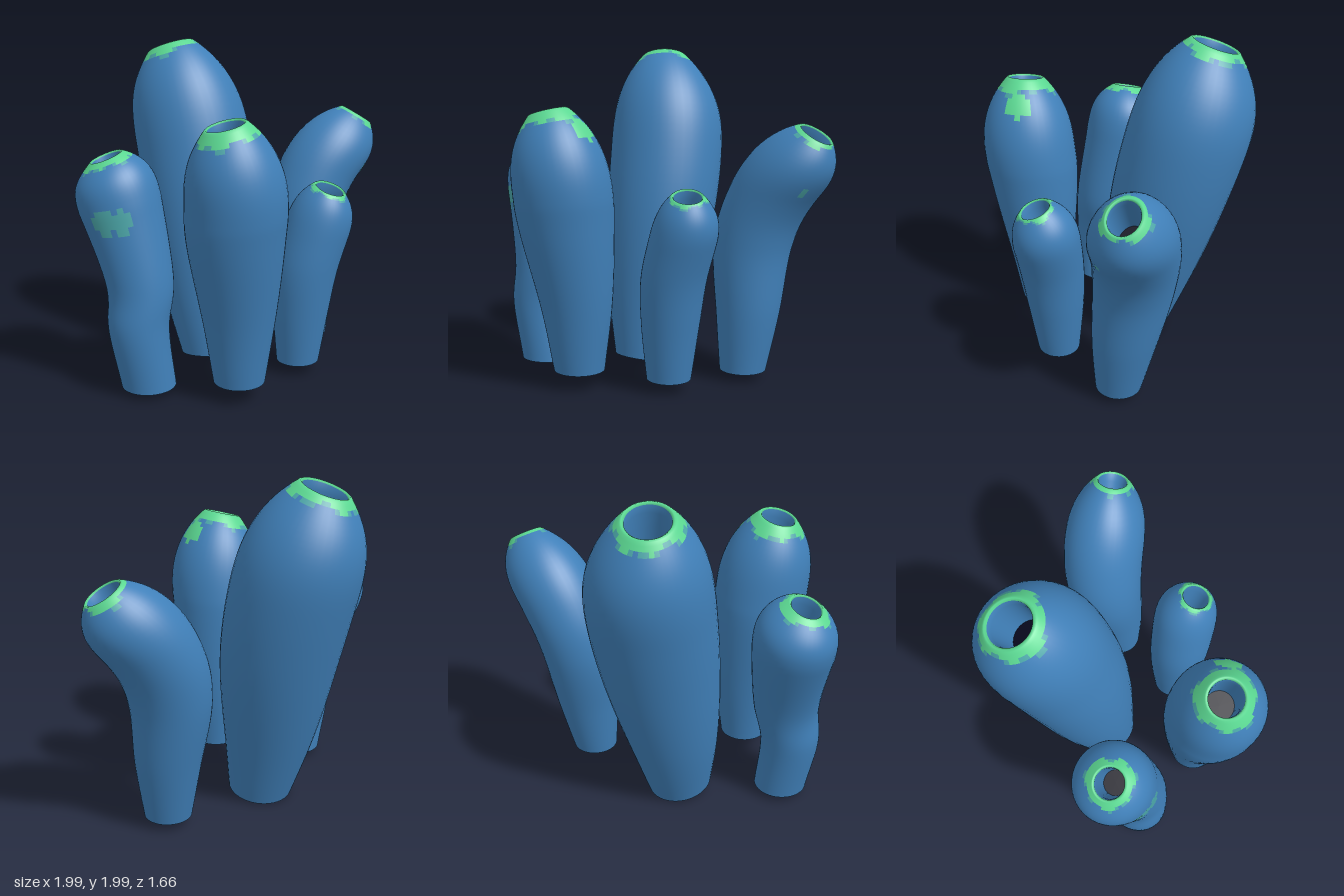
import * as THREE from 'three';

const SIDES = 44, STEPS = 42;

const flat = (name, color) => {
  const material = new THREE.MeshStandardMaterial({ color });
  material.name = name;
  return material;
};
const blue = flat('spongeBlue', 0x4080b9);
const green = flat('rimGreen', 0x5bd892);
const teal = flat('patchTeal', 0x4ba6a8);
const dark = flat('holeDark', 0x07071c);

// Profile: radius at base, belly and rim, then the belly's height as a fraction of the tube.
// tilt: slope of the rim along x and z. glow: reach of the coloured rim.
const TUBES = [
  { name: 'tallTube', profile: [0.195, 0.36, 0.145, 0.66], tilt: [0.24, 0.27], baseTilt: 0.18, glow: 0.2,
    spine: [[-0.16, 0.04, -0.18], [-0.18, 0.4, -0.25], [-0.19, 1, -0.37], [-0.24, 1.5, -0.48], [-0.34, 1.945, -0.565]] },
  { name: 'frontTube', profile: [0.15, 0.285, 0.117, 0.65], tilt: [0.25, -0.06], waist: 0.02, glow: 0.185,
    spine: [[-0.12, 0.11, 0.45], [-0.125, 0.5, 0.465], [-0.15, 0.95, 0.51], [-0.16, 1.25, 0.545], [-0.22, 1.615, 0.58]],
    patches: [{ at: [0, 1.52, 0.52], reach: 0.075, paint: 1 }] },
  { name: 'rightTube', profile: [0.16, 0.235, 0.098, 0.8], tilt: [0.38, 0], waist: 0.025, glow: 0.145,
    spine: [[-0.62, 0.045, 0.25], [-0.67, 0.4, 0.255], [-0.655, 0.68, 0.22], [-0.75, 1.14, 0.14], [-0.815, 1.39, 0.14]],
    patches: [{ at: [-0.85, 1.07, 0.35], reach: 0.075, paint: 2 }, { at: [-0.76, 1.07, 0.38], reach: 0.07, paint: 2 }] },
  { name: 'leaningTube', profile: [0.14, 0.245, 0.1, 0.75], tilt: [-0.62, 0], glow: 0.135,
    spine: [[0.5, 0.06, -0.325], [0.505, 0.4, -0.36], [0.5, 0.82, -0.41], [0.605, 1.13, -0.45], [0.875, 1.485, -0.485]],
    patches: [{ at: [0.87, 1.16, -0.35], reach: 0.035, paint: 2 }] },
  { name: 'smallTube', profile: [0.13, 0.195, 0.094, 0.73], tilt: [-0.25, -0.28], glow: 0.112,
    spine: [[0.315, 0.075, 0.15], [0.33, 0.4, 0.155], [0.36, 0.68, 0.16], [0.44, 0.97, 0.16], [0.485, 1.155, 0.195]] },
];

// Lip and inner wall: depth below the rim and share of the rim radius
const HOLE = [[-0.006, 0.92], [0.004, 0.84], [0.05, 0.8], [0.14, 0.77], [0.32, 0.72]];

// Swells from the base to the belly, then closes in a dome towards the rim
function radiusAt(h, [base, belly, rim, bellyAt], waist) {
  if (h < bellyAt) {
    const u = h / bellyAt;
    return base + (belly - base) * Math.sin(u * Math.PI / 2) - waist * Math.sin(u * Math.PI);
  }
  const u = (h - bellyAt) / (1 - bellyAt);
  return rim + (belly - rim) * (1 - u ** 3);
}

// One sloping ring of points
function ring(centre, radius, slopeX, slopeZ) {
  return Array.from({ length: SIDES }, (_, i) => {
    const a = i / SIDES * Math.PI * 2, dx = radius * Math.cos(a), dz = radius * Math.sin(a);
    return new THREE.Vector3(centre.x + dx, centre.y + slopeX * dx + slopeZ * dz, centre.z + dz);
  });
}

// Flat disc closing a ring of points
function disc(points, up) {
  const centre = points.reduce((s, p) => s.add(p), new THREE.Vector3()).divideScalar(points.length);
  const geometry = new THREE.BufferGeometry().setFromPoints([centre, ...points]);
  const index = [];
  for (let i = 0; i < points.length; i++) {
    const a = 1 + i, b = 1 + (i + 1) % points.length;
    index.push(0, up ? b : a, up ? a : b);
  }
  geometry.setIndex(index);
  geometry.computeVertexNormals();
  return geometry;
}

function buildTube({ name, spine, profile, tilt, glow, waist = 0, baseTilt = 0, patches = [] }) {
  const curve = new THREE.CatmullRomCurve3(spine.map(p => new THREE.Vector3(...p)), false, 'catmullrom', 0.5);
  const base = curve.getPoint(0), rim = curve.getPoint(1), down = curve.getTangent(1).negate();

  // Outer wall, with rings closer together towards the rim
  const rings = [];
  for (let j = 0; j <= STEPS; j++) {
    const c = curve.getPoint(1 - (1 - j / STEPS) ** 1.3);
    const h = THREE.MathUtils.clamp((c.y - base.y) / (rim.y - base.y), 0, 1);
    rings.push(ring(c, radiusAt(h, profile, waist), tilt[0] * h ** 3, tilt[1] * h ** 3 + baseTilt * (1 - h) ** 3));
  }
  // Lip and inner wall
  for (const [depth, share] of HOLE) {
    rings.push(ring(rim.clone().addScaledVector(down, depth), profile[2] * share, ...tilt));
  }
  const points = rings.flat();

  // Ragged coloured rim and patches, chosen face by face
  const spots = patches.map(p => ({ ...p, at: new THREE.Vector3(...p.at) }));
  const paintAt = (p, i, j) => {
    if (j > STEPS + 1) return 0;
    const a = i / SIDES * Math.PI * 2;
    const edge = glow * (1 + 0.07 * Math.sin(3 * a + glow * 40) + 0.06 * Math.sin(7 * a + 1));
    const d = p.distanceTo(rim);
    if (d < edge) return d < edge * 0.95 ? 1 : 2;
    const hit = spots.find(s => p.distanceTo(s.at) < s.reach);
    return hit ? hit.paint : 0;
  };
  const lists = [[], [], []];
  for (let j = 0; j < rings.length - 1; j++) {
    for (let i = 0; i < SIDES; i++) {
      const a = j * SIDES + i, b = j * SIDES + (i + 1) % SIDES, c = a + SIDES, d = b + SIDES;
      const middle = points[a].clone().lerp(points[d], 0.5);
      lists[paintAt(middle, i, j)].push(a, c, b, b, c, d);
    }
  }
  const wall = new THREE.BufferGeometry().setFromPoints(points);
  wall.setIndex(lists.flat());
  let start = 0;
  lists.forEach((list, m) => {
    wall.addGroup(start, list.length, m);
    start += list.length;
  });
  wall.computeVertexNormals();

  const group = new THREE.Group();
  group.name = name;
  const add = (part, geometry, material) => {
    const mesh = new THREE.Mesh(geometry, material);
    mesh.name = part;
    group.add(mesh);
  };
  add('tubeWall', wall, [blue, green, teal]);
  add('tubeBase', disc(rings[0], false), blue);
  add('holeFloor', disc(rings[rings.length - 1], true), dark);
  return group;
}

export function createModel() {
  const model = new THREE.Group();
  model.name = 'tubeSponge';
  TUBES.forEach(tube => model.add(buildTube(tube)));
  return model;
}
